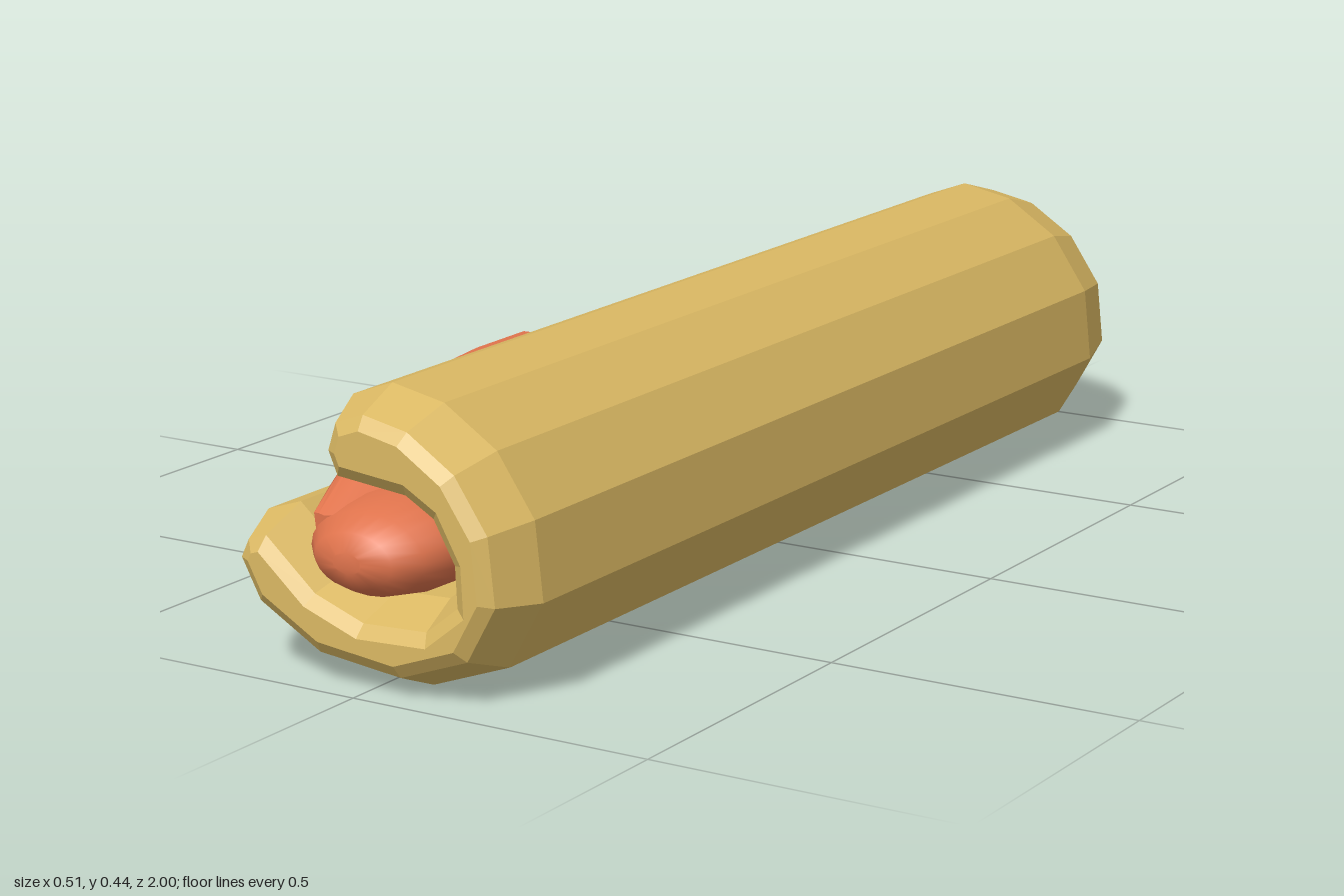
import * as THREE from 'three';
import { toCreasedNormals } from 'three/addons/utils/BufferGeometryUtils.js';

// Skin rings (counter-clockwise Vector2 loops with a z each), ordered back to front, with end caps
function loft(rings) {
  const n = rings[0].pts.length, pos = [], idx = [];
  rings.forEach(r => r.pts.forEach(p => pos.push(p.x, p.y, r.z)));
  for (let i = 0; i < rings.length - 1; i++) {
    for (let k = 0; k < n; k++) {
      const a = i * n + k, b = i * n + (k + 1) % n;
      idx.push(a, b, b + n, a, b + n, a + n);
    }
  }
  const last = (rings.length - 1) * n;
  THREE.ShapeUtils.triangulateShape(rings[0].pts.slice(), []).forEach(([a, b, c]) => idx.push(a, c, b));
  THREE.ShapeUtils.triangulateShape(rings[rings.length - 1].pts.slice(), [])
    .forEach(([a, b, c]) => idx.push(last + a, last + b, last + c));
  const g = new THREE.BufferGeometry();
  g.setAttribute('position', new THREE.Float32BufferAttribute(pos, 3));
  g.setIndex(idx);
  g.computeVertexNormals();
  return g;
}

// Shrink a counter-clockwise loop by a constant wall distance
function inset(pts, d) {
  const n = pts.length;
  const normal = (a, b) => new THREE.Vector2(a.y - b.y, b.x - a.x).normalize();
  return pts.map((p, i) => {
    const n1 = normal(pts[(i + n - 1) % n], p), n2 = normal(p, pts[(i + 1) % n]);
    const m = n1.clone().add(n2).divideScalar(Math.max(0.6, 1 + n1.dot(n2)));
    return p.clone().addScaledVector(m, d);
  });
}

const loop = list => list.map(([x, y]) => new THREE.Vector2(x, y));

export function createModel() {
  const group = new THREE.Group();
  const bunMat = new THREE.MeshStandardMaterial({ color: 0xdab863, flatShading: true });
  const meatMat = new THREE.MeshStandardMaterial({ color: 0xdf734c });
  const add = (name, geometry, material) => {
    const mesh = new THREE.Mesh(geometry, material);
    mesh.name = name;
    group.add(mesh);
  };

  // Bun: thick C-shaped section, open towards -x, with bevelled ends
  const section = loop([
    [-0.07, 0.417], [0, 0.443], [0.09, 0.425], [0.18, 0.367], [0.243, 0.275], [0.256, 0.155],
    [0.197, 0.05], [0.063, 0.001], [-0.093, 0.018], [-0.212, 0.086], [-0.256, 0.168],
    [-0.23, 0.222], [-0.17, 0.242], [-0.075, 0.16], [0, 0.133], [0.095, 0.137], [0.13, 0.165],
    [0.128, 0.205], [0.1, 0.255], [0.065, 0.275], [-0.065, 0.288], [-0.092, 0.35],
  ]).reverse();
  const bunEnds = [[-0.957, 0.05], [-0.94, 0.03], [-0.83, 0], [0.89, 0], [0.965, 0.03], [0.98, 0.05]];
  add('bun', loft(bunEnds.map(([z, d]) => ({ z, pts: d ? inset(section, d) : section }))), bunMat);

  // Sausage: oval rings, slanted at the back and rounded at the front [z, centre y, rx, ry]
  const sausage = [
    [-1, 0.172, 0.06, 0.006], [-0.985, 0.19, 0.1, 0.03], [-0.95, 0.212, 0.122, 0.055],
    [-0.85, 0.205, 0.125, 0.075], [0.8, 0.205, 0.122, 0.077], [0.89, 0.204, 0.118, 0.074],
    [0.95, 0.202, 0.1, 0.062], [0.985, 0.2, 0.068, 0.042], [1, 0.2, 0.025, 0.016],
  ].map(([z, cy, rx, ry]) => ({
    z,
    pts: Array.from({ length: 24 }, (_, k) => {
      const a = k / 24 * Math.PI * 2;
      return new THREE.Vector2(-0.006 + rx * Math.cos(a), cy + ry * Math.sin(a));
    }),
  }));
  add('sausage', toCreasedNormals(loft(sausage), 0.9), meatMat);

  // Side filling: an uneven strip swelling out of the opening [z, outer x, top y]
  const strip = [
    [-0.96, -0.1, 0.25], [-0.89, -0.16, 0.275], [-0.8, -0.2, 0.31], [-0.72, -0.172, 0.31],
    [-0.55, -0.165, 0.315], [-0.3, -0.19, 0.325], [-0.1, -0.215, 0.335], [0.1, -0.243, 0.345],
    [0.31, -0.25, 0.35], [0.32, -0.25, 0.385], [0.45, -0.248, 0.385], [0.6, -0.225, 0.38],
    [0.75, -0.185, 0.355], [0.86, -0.14, 0.3], [0.95, -0.1, 0.25],
  ].map(([z, x, top]) => {
    const w = -0.06 - x;
    return {
      z,
      pts: loop([
        [-0.02, Math.min(0.27, top - 0.01)], [-0.06 - w * 0.12, top], [x + w * 0.45, top - 0.002],
        [x + w * 0.2, top * 0.55 + 0.117], [x, 0.262], [x + 0.003, 0.225],
        [x + w * 0.15, 0.195], [-0.04, 0.17],
      ].map(([px, py]) => [px, Math.min(py, top)])),
    };
  });
  add('sideFilling', toCreasedNormals(loft(strip), 0.7), meatMat);
  return group;
}
